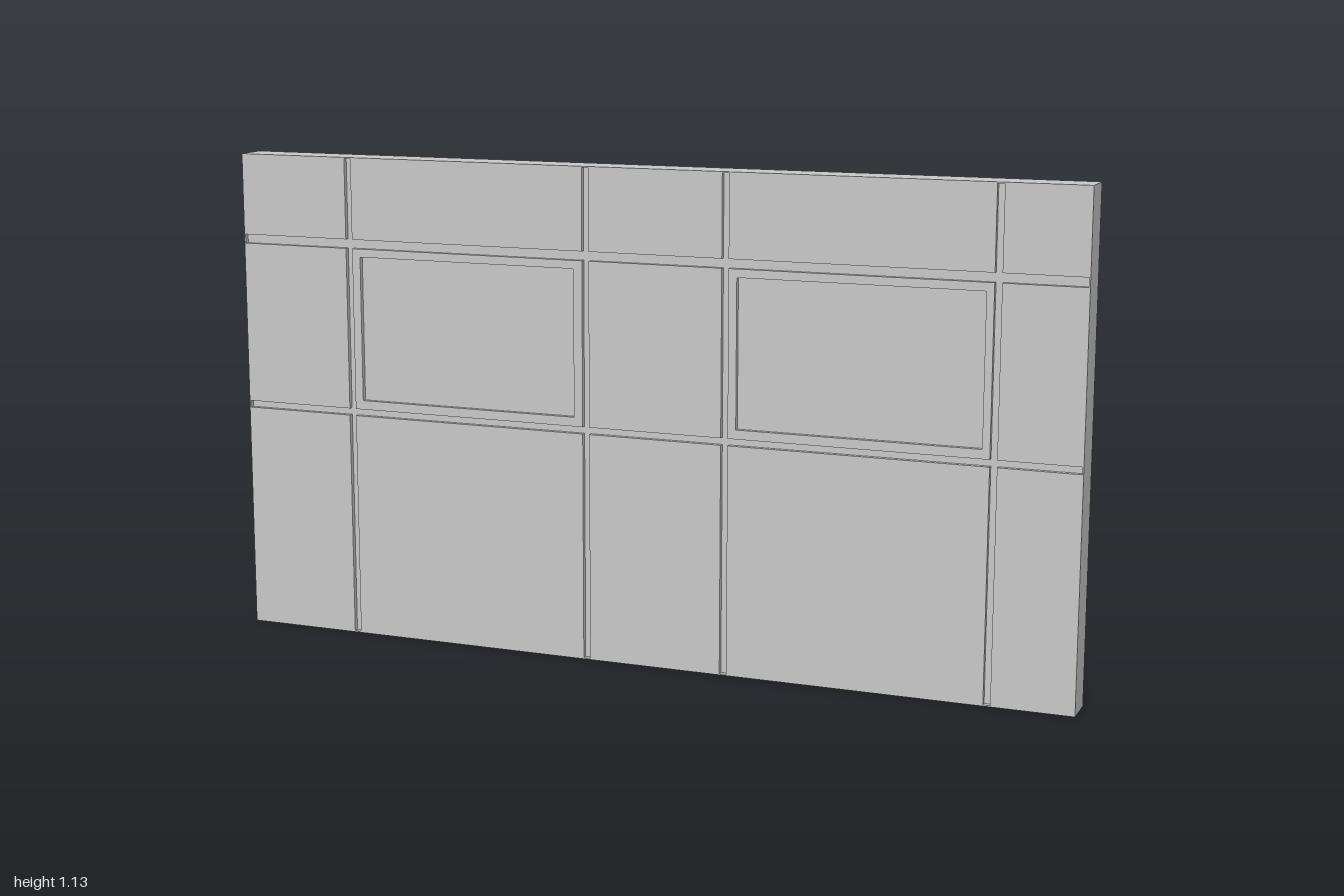
import * as THREE from 'three';

const W = 2, H = 1.13, BACK = -0.04, FLOOR = 0.029, FRONT = 0.04, LIP = 0.003;

// Grooves as [start, end] along x and along y
const grooveX = [[-0.73, -0.714], [-0.136, -0.12], [0.195, 0.211], [0.8, 0.816]];
const grooveY = [[0.527, 0.543], [0.92, 0.941]];

// Sunken fields, keyed by column of the middle row: [x0, x1, y0, y1]
const fields = {
  1: [-0.694, -0.157, 0.564, 0.901],
  3: [0.23, 0.783, 0.564, 0.901],
};

// Spans left between grooves
function spans(min, max, grooves) {
  const edges = [min, ...grooves.flat(), max];
  return Array.from({ length: grooves.length + 1 }, (_, i) => [edges[2 * i], edges[2 * i + 1]]);
}

function rect(path, x0, x1, y0, y1) {
  path.moveTo(x0, y0);
  path.lineTo(x1, y0);
  path.lineTo(x1, y1);
  path.lineTo(x0, y1);
  path.closePath();
  return path;
}

export function createModel() {
  const group = new THREE.Group();
  group.name = 'wallPanel';
  const material = new THREE.MeshStandardMaterial({ color: 0xcccccc });

  function add(name, geometry) {
    const mesh = new THREE.Mesh(geometry, material);
    mesh.name = name;
    group.add(mesh);
  }
  function box(name, x0, x1, y0, y1, z0, z1) {
    const geometry = new THREE.BoxGeometry(x1 - x0, y1 - y0, z1 - z0);
    geometry.translate((x0 + x1) / 2, (y0 + y1) / 2, (z0 + z1) / 2);
    add(name, geometry);
  }

  // Backing slab, whose front is the floor of grooves and fields
  box('backingSlab', -W / 2, W / 2, 0, H, BACK, FLOOR);

  // Facing panels between the grooves
  spans(0, H, grooveY).forEach(([y0, y1], row) => {
    spans(-W / 2, W / 2, grooveX).forEach(([x0, x1], col) => {
      const field = row === 1 && fields[col];
      if (!field) {
        box('facingPanel', x0, x1, y0, y1, FLOOR, FRONT);
        return;
      }
      const frame = rect(new THREE.Shape(), x0, x1, y0, y1);
      frame.holes.push(rect(new THREE.Path(), ...field));
      const geometry = new THREE.ExtrudeGeometry(frame, { depth: FRONT - FLOOR, bevelEnabled: false });
      geometry.translate(0, 0, FLOOR);
      add('sunkenPanelFrame', geometry);
    });
  });

  // Thin lips closing the grooves at the outer edges
  for (const [x0, x1] of grooveX) {
    box('grooveEnd', x0, x1, 0, LIP, FLOOR, FRONT);
    box('grooveEnd', x0, x1, H - LIP, H, FLOOR, FRONT);
  }
  for (const [y0, y1] of grooveY) {
    box('grooveEnd', -W / 2, -W / 2 + LIP, y0, y1, FLOOR, FRONT);
    box('grooveEnd', W / 2 - LIP, W / 2, y0, y1, FLOOR, FRONT);
  }
  return group;
}
